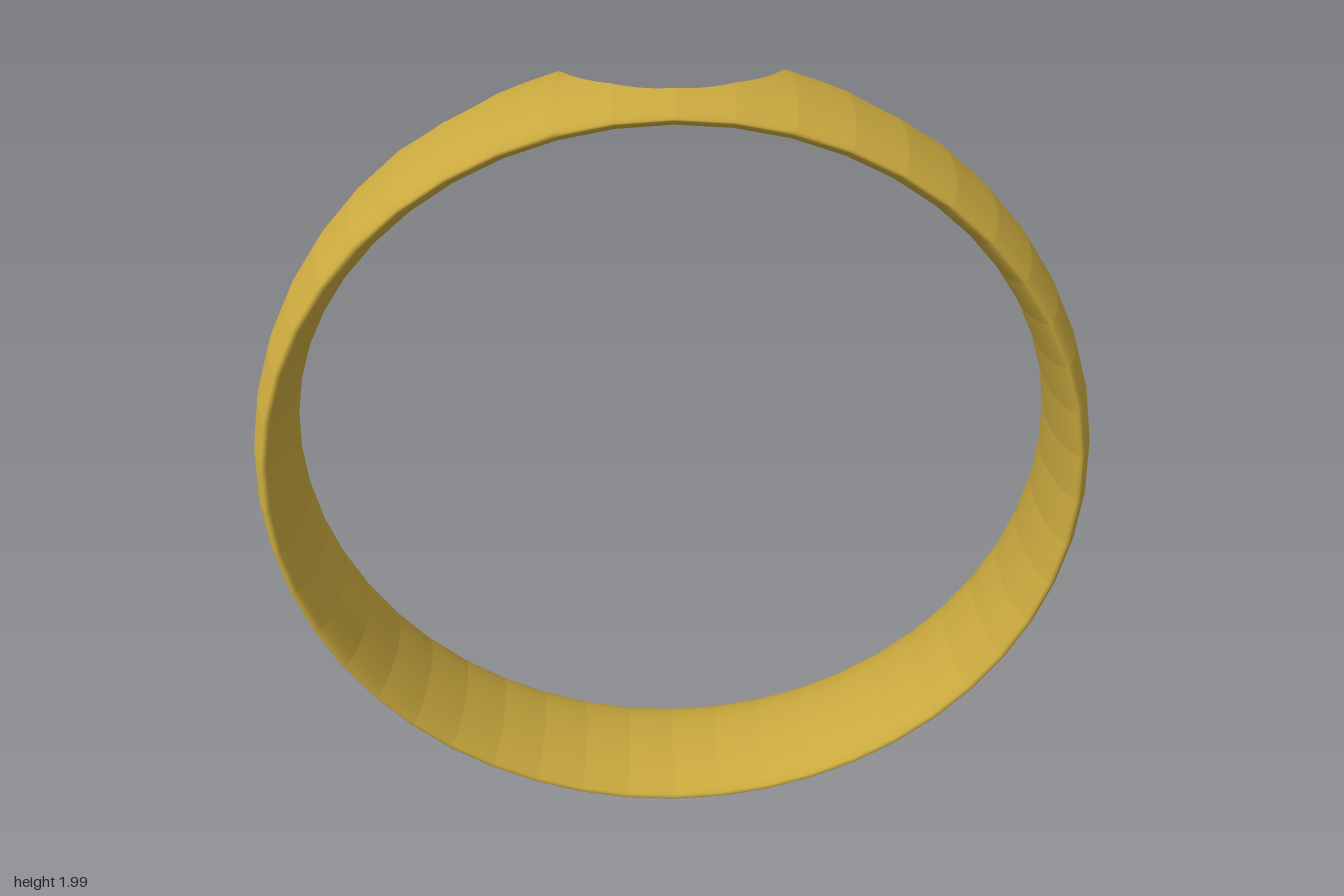
import * as THREE from 'three';

const FACETS = 48, ROWS = 14, HALF = 0.175, MID = 0.955, BULGE = 0.045;

// Round cutters entering from the back edge: tilt about z, centre z, radius
const CUTS = [
  { tilt: 0, z: -0.156, r: 0.246 },
  { tilt: 0.515, z: -0.355, r: 0.3 },
  { tilt: -0.515, z: -0.355, r: 0.3 },
];

// Back limit of the band at a point measured from the ring centre
function backLimit(x, y) {
  let limit = -HALF;
  if (y < 0) return limit;
  for (const c of CUTS) {
    const u = x * Math.cos(c.tilt) - y * Math.sin(c.tilt);
    if (Math.abs(u) < c.r) limit = Math.max(limit, c.z + Math.sqrt(c.r * c.r - u * u));
  }
  return limit;
}

// Lens-shaped section: side is 1 for the outer face, -1 for the inner face
const radius = (a, side) => MID + side * BULGE * Math.pow(Math.max(0, Math.cos(a)), 1.3);

function point(theta, mid, a, side) {
  // points between facet corners lie on the straight chord
  const chord = Math.cos(Math.PI / FACETS) / Math.cos(theta - mid);
  const r = radius(a, side) * chord;
  return new THREE.Vector3(r * Math.sin(theta), r * Math.cos(theta), HALF * Math.sin(a));
}

// Section angle where a column of the band meets the cutters
function startAngle(theta, mid, side) {
  let a = -Math.PI / 2;
  for (let i = 0; i < 12; i++) {
    const p = point(theta, mid, a, side);
    a = Math.asin(THREE.MathUtils.clamp(backLimit(p.x, p.y) / HALF, -1, 1));
  }
  return a;
}

function normal(mid, a, side) {
  const out = side * HALF * Math.pow(Math.max(0, Math.cos(a)), 0.7);
  return new THREE.Vector3(out * Math.sin(mid), out * Math.cos(mid),
    BULGE * 1.3 * Math.sin(a)).normalize();
}

// Walk round the ring, finely where the scallops are
function eachColumnPair(visit) {
  const step = Math.PI * 2 / FACETS;
  for (let f = -FACETS / 2; f < FACETS / 2; f++) {
    const mid = (f + 0.5) * step;
    const subs = Math.abs(mid) < 0.92 ? 16 : 1;
    for (let s = 0; s < subs; s++) {
      visit((f + s / subs) * step, (f + (s + 1) / subs) * step, mid);
    }
  }
}

function bandFace(side) {
  const pos = [], nor = [];
  eachColumnPair((t0, t1, mid) => {
    const starts = [startAngle(t0, mid, side), startAngle(t1, mid, side)];
    const corner = (col, row) => {
      const a = THREE.MathUtils.lerp(starts[col], Math.PI / 2, row / ROWS);
      return [point(col ? t1 : t0, mid, a, side), normal(mid, a, side)];
    };
    for (let j = 0; j < ROWS; j++) {
      const q = [corner(0, j), corner(0, j + 1), corner(1, j + 1), corner(1, j)];
      const order = side > 0 ? [0, 1, 2, 0, 2, 3] : [0, 2, 1, 0, 3, 2];
      for (const k of order) {
        pos.push(...q[k][0].toArray());
        nor.push(...q[k][1].toArray());
      }
    }
  });
  const g = new THREE.BufferGeometry();
  g.setAttribute('position', new THREE.Float32BufferAttribute(pos, 3));
  g.setAttribute('normal', new THREE.Float32BufferAttribute(nor, 3));
  return g;
}

// Cut walls joining the outer and inner faces
function scallopWalls() {
  const pos = [];
  eachColumnPair((t0, t1, mid) => {
    const at = (t, side) => point(t, mid, startAngle(t, mid, side), side);
    const q = [at(t0, -1), at(t0, 1), at(t1, 1), at(t1, -1)];
    if (q.every((p) => p.z < -HALF + 1e-5)) return;
    for (const k of [0, 1, 2, 0, 2, 3]) pos.push(...q[k].toArray());
  });
  const g = new THREE.BufferGeometry();
  g.setAttribute('position', new THREE.Float32BufferAttribute(pos, 3));
  g.computeVertexNormals();
  return g;
}

export function createModel() {
  const gold = new THREE.MeshStandardMaterial({ color: 0xc9a83e });
  gold.name = 'gold';
  const ring = new THREE.Group();
  ring.name = 'ring';
  const add = (name, geometry) => {
    const mesh = new THREE.Mesh(geometry, gold);
    mesh.name = name;
    mesh.position.y = 1;
    ring.add(mesh);
  };
  add('outerBand', bandFace(1));
  add('innerBand', bandFace(-1));
  add('scallopWalls', scallopWalls());
  return ring;
}
